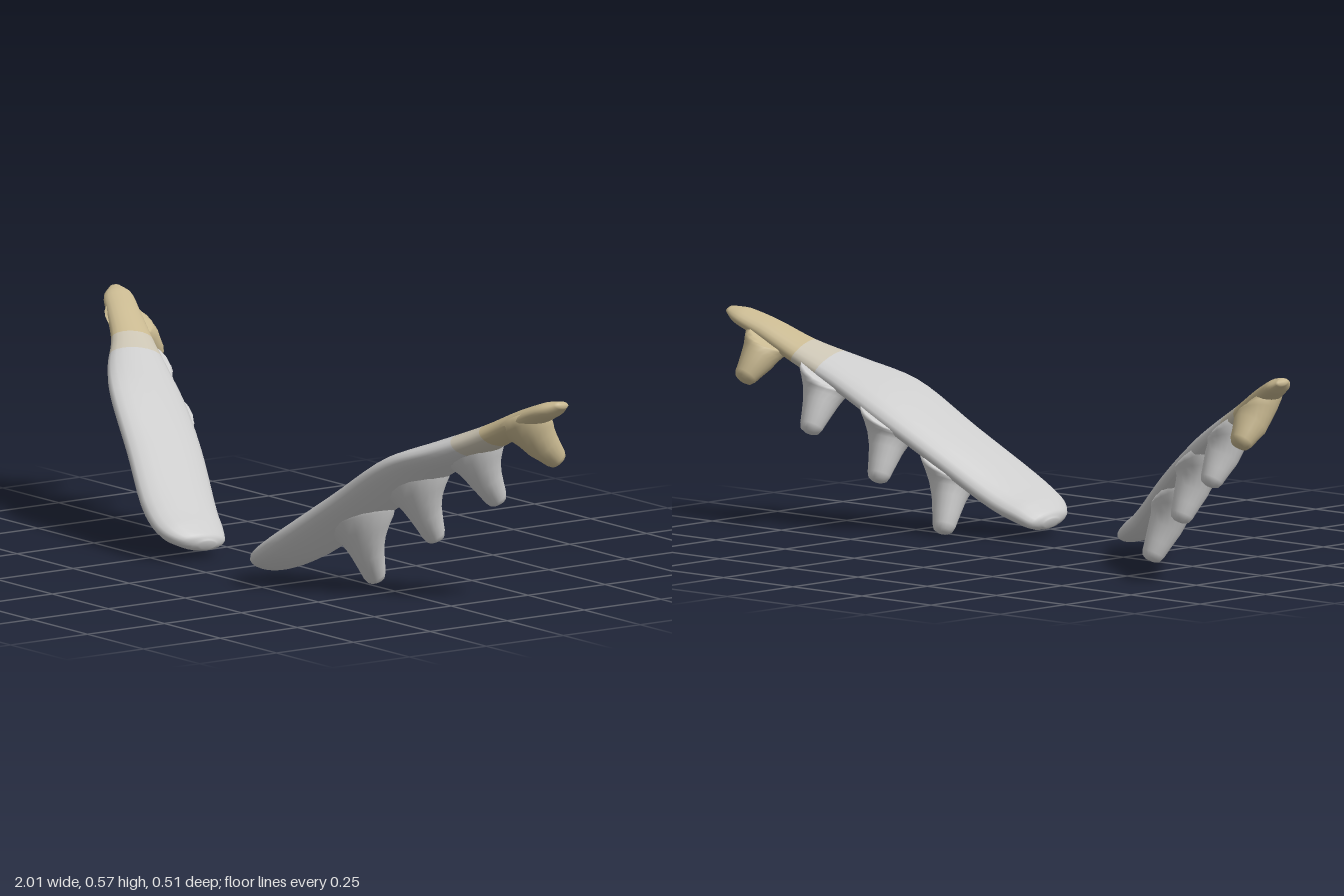
import * as THREE from 'three';

const V = (x, y, z) => new THREE.Vector3(x, y, z);
const SEG = 20;
const GREY = 0xcccccc, BLEND = 0xcac3b2, TAN = 0xc8b890;

// Closed skin over elliptical sections {c, u, v}; side -1 mirrors it across x
function loft(sections, side) {
  const pos = [], rows = [];
  const put = p => pos.push(p.x * side, p.y, p.z);
  for (const { c, u, v } of sections) {
    for (let i = 0; i < SEG; i++) {
      const a = (i / SEG) * Math.PI * 2;
      put(c.clone().addScaledVector(u, Math.cos(a)).addScaledVector(v, Math.sin(a)));
    }
  }
  const n = sections.length, first = n * SEG;
  put(sections[0].c);
  put(sections[n - 1].c);
  const tri = (row, a, b, c) => (side > 0 ? row.push(a, b, c) : row.push(a, c, b));
  for (let r = 0; r < n - 1; r++) {
    const row = [];
    for (let i = 0; i < SEG; i++) {
      const j = (i + 1) % SEG;
      const a = r * SEG + i, b = r * SEG + j;
      tri(row, a, b, b + SEG);
      tri(row, a, b + SEG, a + SEG);
      if (r === 0) tri(row, first, b, a);
      if (r === n - 2) tri(row, first + 1, a + SEG, b + SEG);
    }
    rows.push(row);
  }
  const geo = new THREE.BufferGeometry();
  geo.setAttribute('position', new THREE.Float32BufferAttribute(pos, 3));
  geo.setIndex(rows.flat());
  geo.computeVertexNormals();
  return { geo, rows };
}

function mesh(name, geo, color) {
  const m = new THREE.Mesh(geo, new THREE.MeshStandardMaterial({ color, side: THREE.DoubleSide }));
  m.name = name;
  return m;
}

// Board stations: front edge, back edge, half thickness
const STATIONS = [
  [V(0.143, 0.042, 0.165), V(0.143, 0.038, 0.115), 0.012],
  [V(0.158, 0.053, 0.215), V(0.158, 0.04, 0.075), 0.026],
  [V(0.20, 0.075, 0.25), V(0.20, 0.06, 0.05), 0.036],
  [V(0.27, 0.12, 0.25), V(0.26, 0.09, 0.025), 0.04],
  [V(0.45, 0.255, 0.18), V(0.43, 0.215, -0.05), 0.038],
  [V(0.61, 0.375, 0.117), V(0.57, 0.31, -0.1), 0.037],
  [V(0.72, 0.42, 0.045), V(0.69, 0.385, -0.13), 0.035],
  [V(0.82, 0.47, -0.04), V(0.80, 0.445, -0.16), 0.03],
  [V(0.91, 0.52, -0.09), V(0.90, 0.505, -0.19), 0.026],
  [V(0.97, 0.548, -0.125), V(0.965, 0.54, -0.21), 0.021],
  [V(1.0, 0.562, -0.165), V(0.998, 0.557, -0.2), 0.009],
];

function boardSections() {
  const front = new THREE.CatmullRomCurve3(STATIONS.map(s => s[0]));
  const back = new THREE.CatmullRomCurve3(STATIONS.map(s => s[1]));
  const N = 50;
  const mid = t => front.getPoint(t).add(back.getPoint(t)).multiplyScalar(0.5);
  const out = [];
  for (let i = 0; i <= N; i++) {
    const t = i / N;
    const k = Math.min(t * (STATIONS.length - 1), STATIONS.length - 1.0001);
    const s = Math.floor(k);
    const thick = THREE.MathUtils.lerp(STATIONS[s][2], STATIONS[s + 1][2], k - s);
    const u = front.getPoint(t).sub(back.getPoint(t)).multiplyScalar(0.5);
    const w = mid(Math.min(1, t + 0.01)).sub(mid(Math.max(0, t - 0.01)));
    out.push({ c: mid(t), u, v: w.cross(u).setLength(thick) });
  }
  return out;
}

// Pegs: base centre inside the board, tip centre, flare scale, colour
const PEGS = [
  [V(0.41, 0.2, 0.06), V(0.375, 0.009, -0.03), 1, GREY],
  [V(0.56, 0.315, -0.01), V(0.546, 0.136, -0.1), 1, GREY],
  [V(0.73, 0.415, -0.075), V(0.723, 0.256, -0.173), 0.85, GREY],
  [V(0.885, 0.5, -0.135), V(0.897, 0.385, -0.243), 0.65, TAN],
];
// Position along the peg and radius there
const PEG_PROFILE = [
  [0, 0.1], [0.12, 0.088], [0.25, 0.07], [0.38, 0.056], [0.55, 0.046],
  [0.75, 0.037], [0.9, 0.031], [0.97, 0.025], [1, 0.014],
];

// Foot ring lies in the board's plane and turns square to the peg's axis
function pegSections([base, tip, flare]) {
  const axis = tip.clone().sub(base).normalize();
  const u1 = V(1, 0, 0).addScaledVector(axis, -axis.x).normalize();
  const v1 = axis.clone().cross(u1);
  const u0 = V(0.75, 0.5, -0.3).normalize(), v0 = V(0.1, 0.18, 1).normalize();
  return PEG_PROFILE.map(([t, r]) => {
    const k = Math.min(1, t / 0.55);
    const radius = r * THREE.MathUtils.lerp(flare, 1, k);
    return {
      c: base.clone().lerp(tip, t),
      u: u0.clone().lerp(u1, k).setLength(radius),
      v: v0.clone().lerp(v1, k).setLength(radius),
    };
  });
}

function buildSide(side) {
  const group = new THREE.Group();
  group.name = side > 0 ? 'leftBoard' : 'rightBoard';

  // Board skin shared by three colour zones so the normals stay continuous
  const { geo, rows } = loft(boardSections(), side);
  const zones = [['boardBody', 0, 32, GREY], ['boardBlend', 32, 35, BLEND], ['boardTip', 35, 50, TAN]];
  for (const [name, from, to, color] of zones) {
    const part = geo.clone();
    part.setIndex(rows.slice(from, to).flat());
    group.add(mesh(name, part, color));
  }

  PEGS.forEach((peg, i) => {
    group.add(mesh('peg' + (i + 1), loft(pegSections(peg), side).geo, peg[3]));
  });
  return group;
}

export function createModel() {
  const model = new THREE.Group();
  model.name = 'peggedBoards';
  model.add(buildSide(1), buildSide(-1));
  return model;
}
